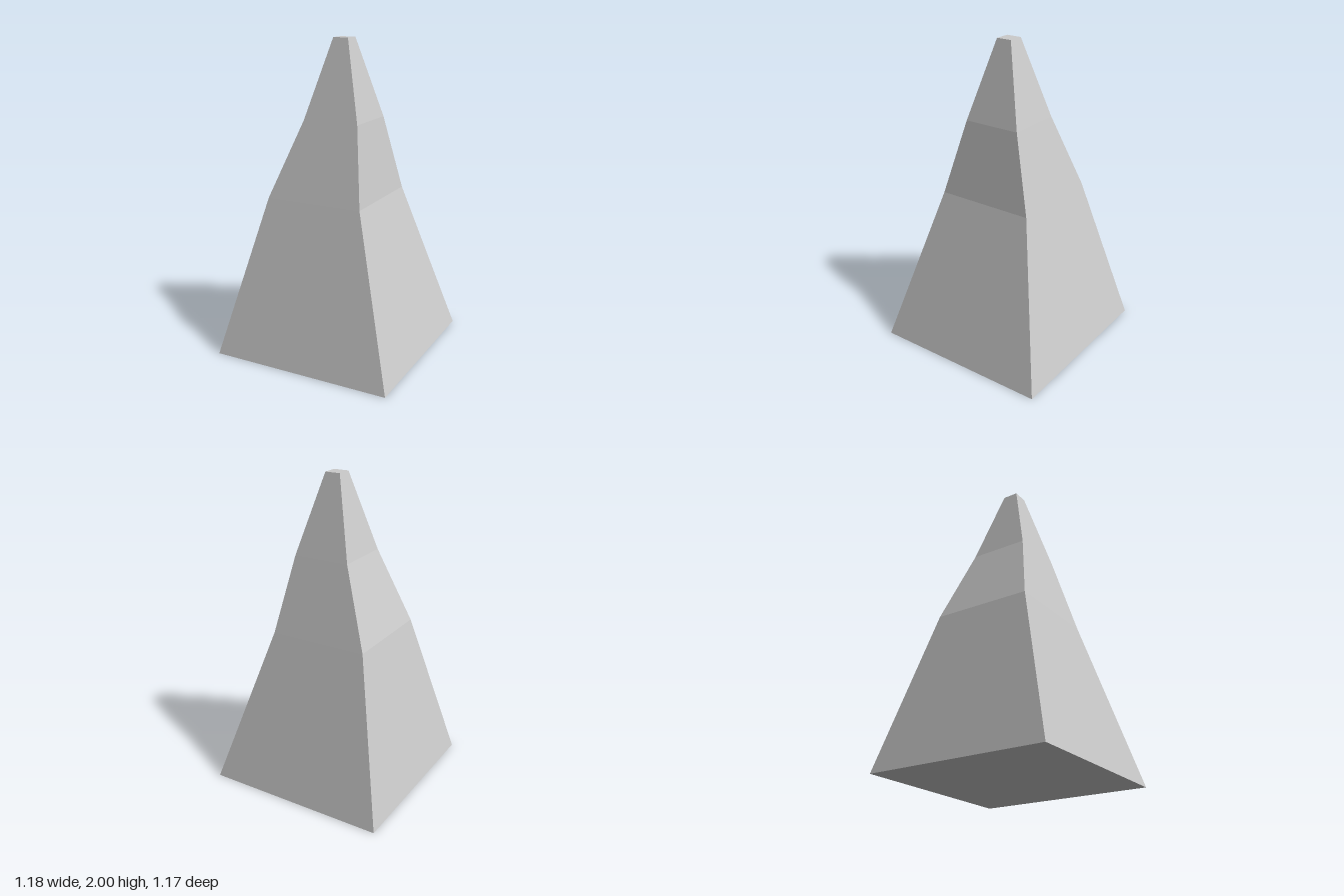
import * as THREE from 'three';

// Cross-sections from the base up: height, x range, z range
const levels = [
  { y: 0, x: [-0.59, 0.59], z: [-0.583, 0.583] },
  { y: 1.015, x: [-0.35, 0.286], z: [-0.32, 0.316] },
  { y: 1.5, x: [-0.165, 0.203], z: [-0.19, 0.185] },
  { y: 2, x: [-0.03, 0.07], z: [-0.051, 0.049] },
];

export function createModel() {
  const group = new THREE.Group();
  group.name = 'taperedSpire';

  // Four-sided body: a segmented box with each ring moved to its cross-section
  const steps = levels.length - 1;
  const geometry = new THREE.BoxGeometry(1, steps, 1, 1, steps, 1);
  const pos = geometry.attributes.position;
  for (let i = 0; i < pos.count; i++) {
    const level = levels[Math.round(pos.getY(i) + steps / 2)];
    const x = level.x[pos.getX(i) > 0 ? 1 : 0];
    const z = level.z[pos.getZ(i) > 0 ? 1 : 0];
    pos.setXYZ(i, x, level.y, z);
  }
  geometry.computeVertexNormals();

  const material = new THREE.MeshStandardMaterial({ color: 0xcccccc, flatShading: true });
  const body = new THREE.Mesh(geometry, material);
  body.name = 'spireBody';
  group.add(body);
  return group;
}
